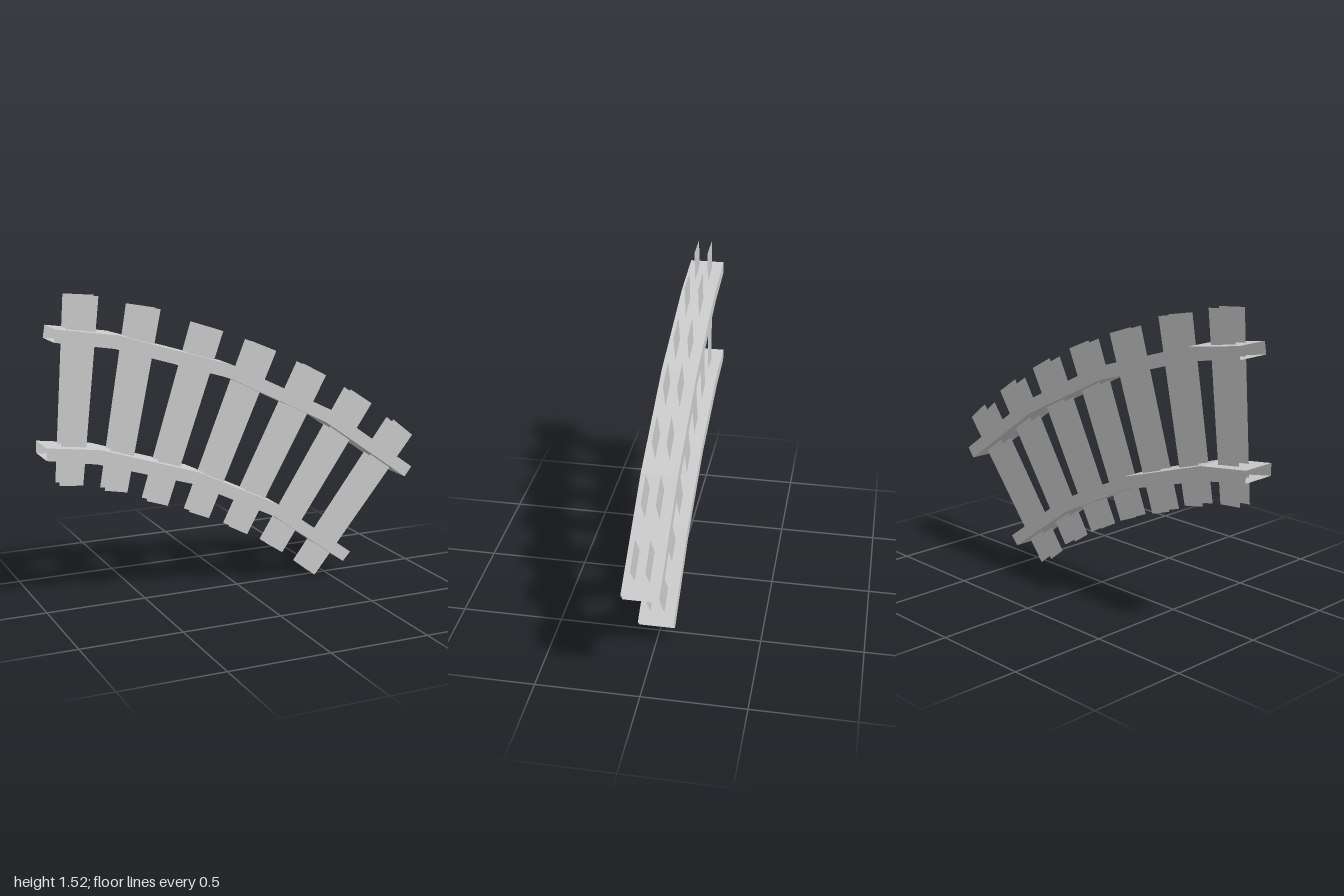
import * as THREE from 'three';

const material = new THREE.MeshStandardMaterial({ color: 0xcccccc, flatShading: true, side: THREE.DoubleSide });
const RAIL_Z = 0.0875; // half depth of a rail
const SLAT_Z = 0.034; // half gap between paired boards

// Quad strip geometry: each quad is four corners, counter-clockwise from outside
function quadGeometry(quads) {
  const positions = [];
  for (const [a, b, c, d] of quads) positions.push(...a, ...b, ...c, ...a, ...c, ...d);
  const geometry = new THREE.BufferGeometry();
  geometry.setAttribute('position', new THREE.Float32BufferAttribute(positions, 3));
  geometry.computeVertexNormals();
  return geometry;
}

// Bent hollow rail, open at both ends; top and bottom are matching [x, y] paths
function createRail(name, top, bottom) {
  const ring = (i) => [
    [...top[i], RAIL_Z], [...top[i], -RAIL_Z],
    [...bottom[i], -RAIL_Z], [...bottom[i], RAIL_Z],
  ];
  const quads = [];
  for (let i = 0; i < top.length - 1; i++) {
    const a = ring(i), b = ring(i + 1);
    for (let k = 0; k < 4; k++) {
      const n = (k + 1) % 4;
      quads.push([a[k], b[k], b[n], a[n]]);
    }
  }
  const mesh = new THREE.Mesh(quadGeometry(quads), material);
  mesh.name = name;
  return mesh;
}

// Tapered slat made of a front and a back board, square to its own axis
function createSlat(name, [tx, ty], [bx, by]) {
  const length = Math.hypot(tx - bx, ty - by);
  const px = (ty - by) / length, py = -(tx - bx) / length;
  const wt = 0.0755, wb = 0.058;
  const outline = [
    [bx - px * wb, by - py * wb], [bx + px * wb, by + py * wb],
    [tx + px * wt, ty + py * wt], [tx - px * wt, ty - py * wt],
  ];
  const front = outline.map((p) => [...p, SLAT_Z]);
  const back = outline.map((p) => [...p, -SLAT_Z]).reverse();
  const mesh = new THREE.Mesh(quadGeometry([front, back]), material);
  mesh.name = name;
  return mesh;
}

export function createModel() {
  const group = new THREE.Group();
  group.name = 'slopingFence';

  // Two rails following the slope
  group.add(createRail('upperRail',
    [[-0.94, 1.375], [-0.64, 1.33], [-0.06, 1.15], [0.48, 0.885], [0.965, 0.54]],
    [[-0.95, 1.315], [-0.66, 1.268], [-0.08, 1.088], [0.45, 0.825], [0.925, 0.49]]));
  group.add(createRail('lowerRail',
    [[-1, 0.83], [-0.735, 0.795], [-0.245, 0.637], [0.195, 0.42], [0.607, 0.12]],
    [[-1, 0.77], [-0.755, 0.728], [-0.27, 0.58], [0.168, 0.363], [0.565, 0.075]]));

  // Slats fanning out along the rails: [top centre, bottom centre]
  const slats = [
    [[-0.79, 1.515], [-0.87, 0.625]],
    [[-0.484, 1.447], [-0.65, 0.572]],
    [[-0.16, 1.334], [-0.441, 0.489]],
    [[0.128, 1.225], [-0.222, 0.404]],
    [[0.412, 1.088], [-0.011, 0.299]],
    [[0.684, 0.928], [0.19, 0.182]],
    [[0.939, 0.743], [0.382, 0.038]],
  ];
  slats.forEach(([top, bottom], i) => group.add(createSlat(`slat${i + 1}`, top, bottom)));
  return group;
}
